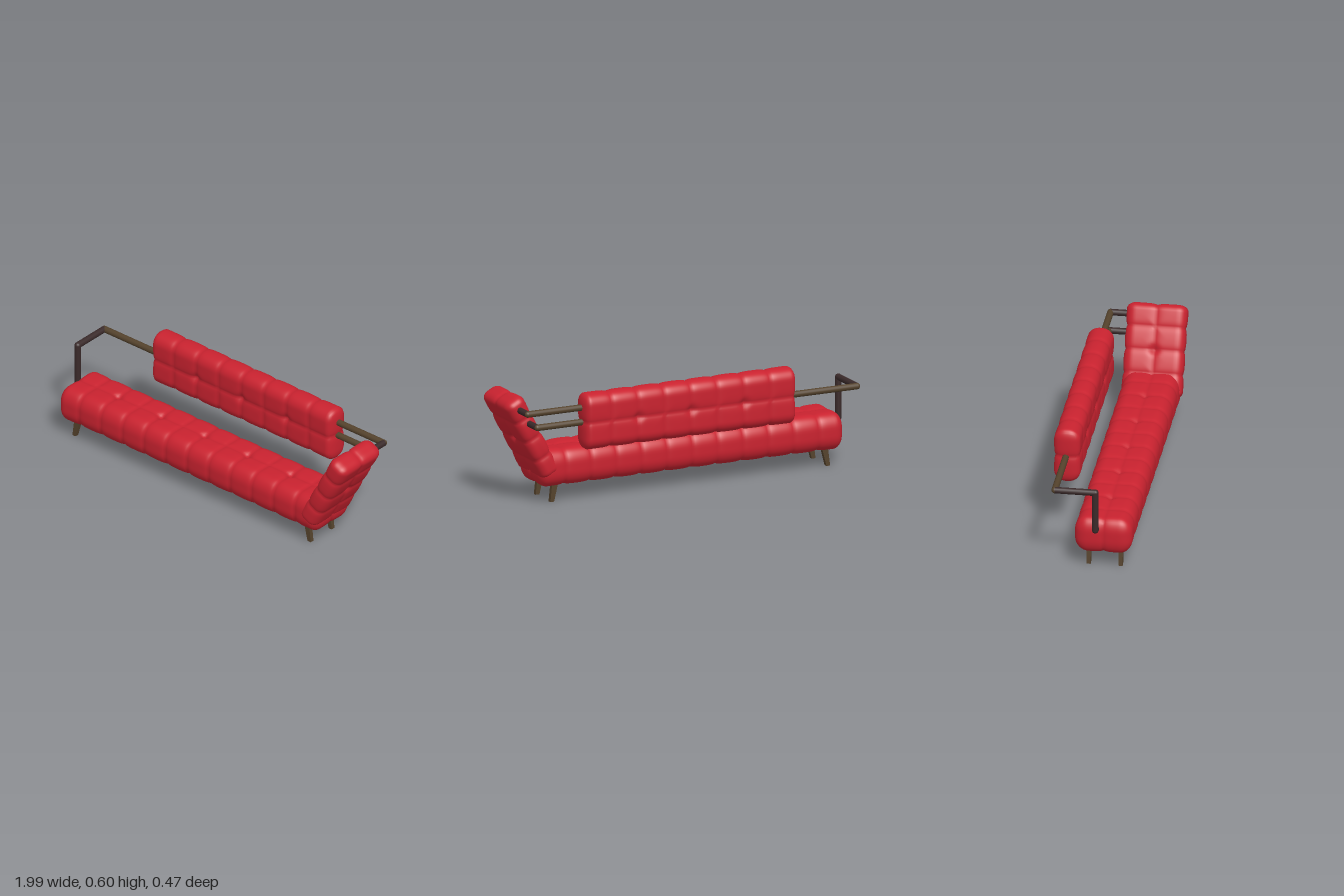
import * as THREE from 'three';
import { mergeVertices } from 'three/addons/utils/BufferGeometryUtils.js';

const mat = (name, color) => {
  const m = new THREE.MeshStandardMaterial({ color });
  m.name = name;
  return m;
};

// Tufted cushion: length on x, thickness on y, width on z; r holds the corner radii.
function cushionGeometry(length, thick, width, tufts, r) {
  const half = new THREE.Vector3(length / 2, thick / 2, width / 2);
  const inner = half.clone().sub(r);
  const box = new THREE.BoxGeometry(length, thick, width, tufts * 12, 14, 28);
  box.deleteAttribute('uv');
  box.deleteAttribute('normal');
  const geo = mergeVertices(box, 1e-5);
  const pos = geo.attributes.position;
  const p = new THREE.Vector3();
  const step = length / tufts;
  for (let i = 0; i < pos.count; i++) {
    p.fromBufferAttribute(pos, i);
    // Round the corners
    const core = p.clone().clamp(inner.clone().negate(), inner);
    const dir = p.clone().sub(core).divide(r).normalize();
    const q = core.clone().add(dir.clone().multiply(r));
    // Press in the cross seams, the long seam and every second button
    const k = Math.round((p.x + half.x) / step);
    const isSeam = k > 0 && k < tufts;
    const du = Math.abs(p.x + half.x - k * step);
    const cross = isSeam ? Math.exp(-du / 0.016) : 0;
    const long = Math.exp(-Math.abs(p.z) / 0.016);
    let depth = 0.008 * Math.max(cross, long) + 0.002 * Math.min(cross, long);
    if (isSeam && k % 2 === 0 && Math.abs(dir.y) > 0.7) {
      depth += 0.016 * Math.exp(-(du * du + p.z * p.z) / 0.0005);
    }
    q.addScaledVector(dir, -depth);
    pos.setXYZ(i, q.x, q.y, q.z);
  }
  geo.computeVertexNormals();
  return geo;
}

export function createModel() {
  const root = new THREE.Group();
  root.name = 'daybed';
  const red = mat('red upholstery', 0xc9222f);
  const brown = mat('brown wood', 0x54422c);
  const dark = mat('dark brown rail', 0x3a2a2a);

  const add = (name, geo, material, x = 0, y = 0, z = 0) => {
    const mesh = new THREE.Mesh(geo, material);
    mesh.name = name;
    mesh.position.set(x, y, z);
    root.add(mesh);
    return mesh;
  };

  // Cushions
  const V = (x, y, z) => new THREE.Vector3(x, y, z);
  add('seatCushion', cushionGeometry(1.76, 0.2, 0.3, 12, V(0.05, 0.08, 0.07)), red, -0.09, 0.186, 0.075);
  const back = add('backCushion', cushionGeometry(1.225, 0.137, 0.3, 8, V(0.03, 0.064, 0.06)), red, 0.002, 0.455, -0.167);
  back.rotation.x = Math.PI / 2;
  const head = add('sideHeadrest', cushionGeometry(0.485, 0.118, 0.317, 4, V(0.035, 0.045, 0.05)), red, 0.837, 0.368, 0.078);
  head.rotation.z = THREE.MathUtils.degToRad(62);

  // Round rails with ball joints
  const R = 0.017;
  const rod = (name, a, b, material) => {
    const d = b.clone().sub(a);
    const mesh = add(name, new THREE.CylinderGeometry(R, R, d.length(), 16), material);
    mesh.position.copy(a).addScaledVector(d, 0.5);
    mesh.quaternion.setFromUnitVectors(V(0, 1, 0), d.normalize());
  };
  const joint = (p, material) =>
    add('railJoint', new THREE.SphereGeometry(R, 16, 12), material, p.x, p.y, p.z);

  // Left rail: out of the seat end, up, backwards and along to the back cushion
  const railZ = -0.172;
  const left = [V(-0.93, 0.235, 0.04), V(-0.983, 0.235, 0.04), V(-0.983, 0.452, 0.04),
    V(-0.983, 0.452, railZ), V(-0.5, 0.452, railZ)];
  for (let i = 0; i < 4; i++) {
    rod('leftRail', left[i], left[i + 1], i === 3 ? brown : dark);
    if (i > 0) joint(left[i], i === 3 ? brown : dark);
  }

  // Two right rails from the back cushion to the headrest
  for (const [x, y] of [[0.922, 0.529], [0.866, 0.451]]) {
    const corner = V(x, y, railZ + 0.005);
    rod('rightRail', V(0.5, y, corner.z), corner, brown);
    joint(corner, brown);
    rod('rightRailArm', corner, V(x, y, -0.02), dark);
  }

  // Splayed legs, narrower at the foot
  for (const [topX, footX] of [[-0.874, -0.896], [0.685, 0.704]]) {
    for (const z of [0.16, -0.007]) {
      const geo = new THREE.BoxGeometry(0.036, 0.11, 0.022);
      const pos = geo.attributes.position;
      for (let i = 0; i < pos.count; i++) {
        const foot = pos.getY(i) < 0;
        pos.setX(i, foot ? footX + pos.getX(i) * 0.6 : topX + pos.getX(i));
      }
      geo.computeVertexNormals();
      add('leg', geo, brown, 0, 0.055, z);
    }
  }
  return root;
}
